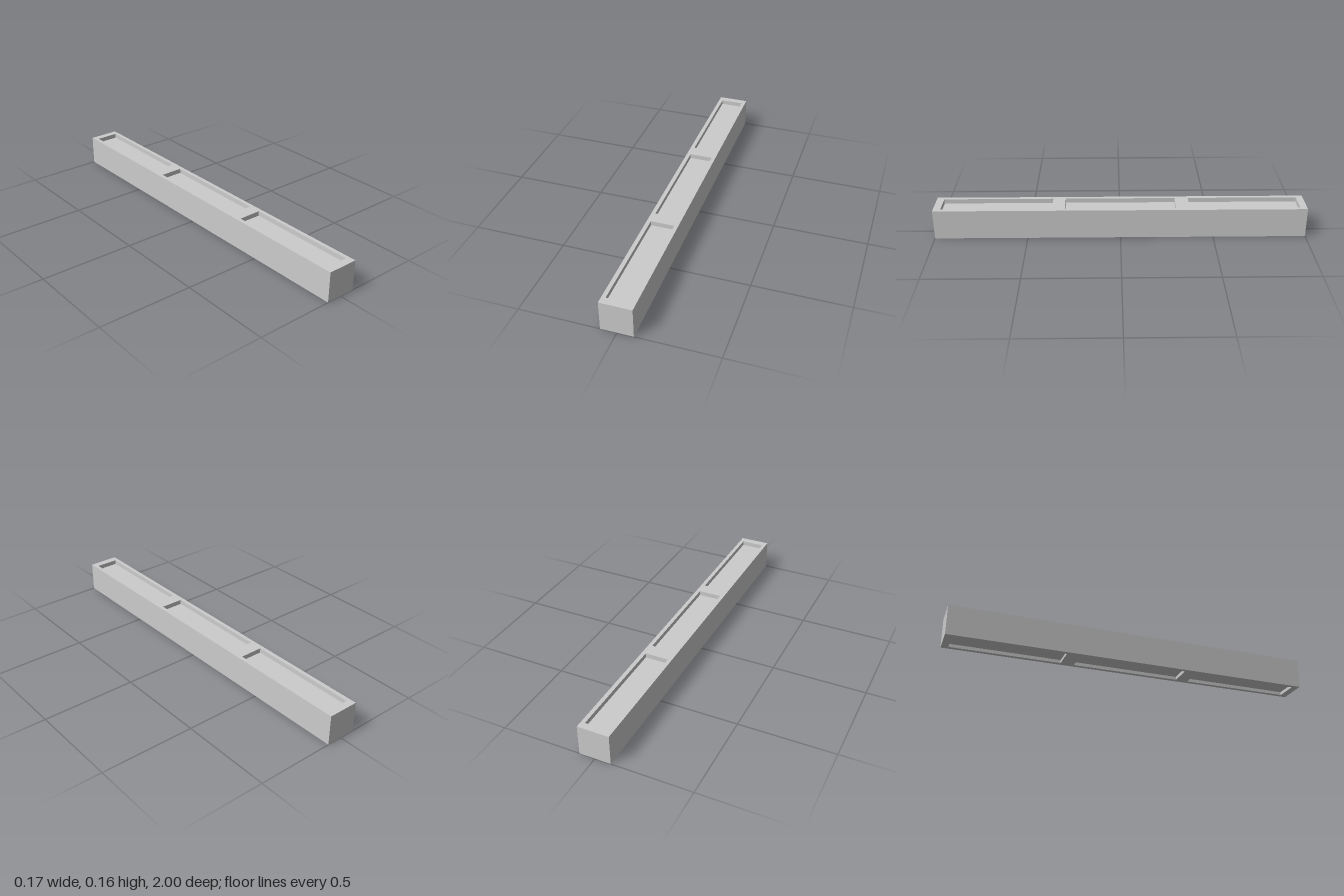
import * as THREE from 'three';

const WIDTH = 0.166, HEIGHT = 0.163;
const TOP_RECESS = 0.025, BOTTOM_RECESS = 0.018;
const POCKET_HALF_WIDTH = 0.062;

const material = new THREE.MeshStandardMaterial({ color: 0xcccccc, flatShading: true });

// Trace a rectangle in plan; plan y becomes -z once laid flat
function traceRect(path, halfWidth, z0, z1) {
  path.moveTo(-halfWidth, -z1);
  path.lineTo(halfWidth, -z1);
  path.lineTo(halfWidth, -z0);
  path.lineTo(-halfWidth, -z0);
  path.closePath();
  return path;
}

// One beam length: an outer frame with a web filling each opening
function beamSection(name, z0, z1, pockets) {
  const section = new THREE.Group();
  section.name = name;

  const outline = traceRect(new THREE.Shape(), WIDTH / 2, z0, z1);
  for (const [a, b] of pockets) {
    outline.holes.push(traceRect(new THREE.Path(), POCKET_HALF_WIDTH, a, b));
  }
  const frameGeometry = new THREE.ExtrudeGeometry(outline, { depth: HEIGHT, bevelEnabled: false });
  frameGeometry.rotateX(-Math.PI / 2);
  const frame = new THREE.Mesh(frameGeometry, material);
  frame.name = 'beamFrame';
  section.add(frame);

  // Recessed panels, set back from both the top and the underside
  const webHeight = HEIGHT - TOP_RECESS - BOTTOM_RECESS;
  for (const [a, b] of pockets) {
    const panel = new THREE.Mesh(
      new THREE.BoxGeometry(POCKET_HALF_WIDTH * 2, webHeight, b - a), material);
    panel.position.set(0, BOTTOM_RECESS + webHeight / 2, (a + b) / 2);
    panel.name = 'recessedPanel';
    section.add(panel);
  }
  return section;
}

export function createModel() {
  const model = new THREE.Group();
  model.name = 'panelledBeam';
  // Short and long lengths butt together at z = -0.33
  model.add(
    beamSection('shortSection', -1, -0.333, [[-0.963, -0.37]]),
    beamSection('longSection', -0.333, 1, [[-0.297, 0.297], [0.365, 0.96]]),
  );
  return model;
}
